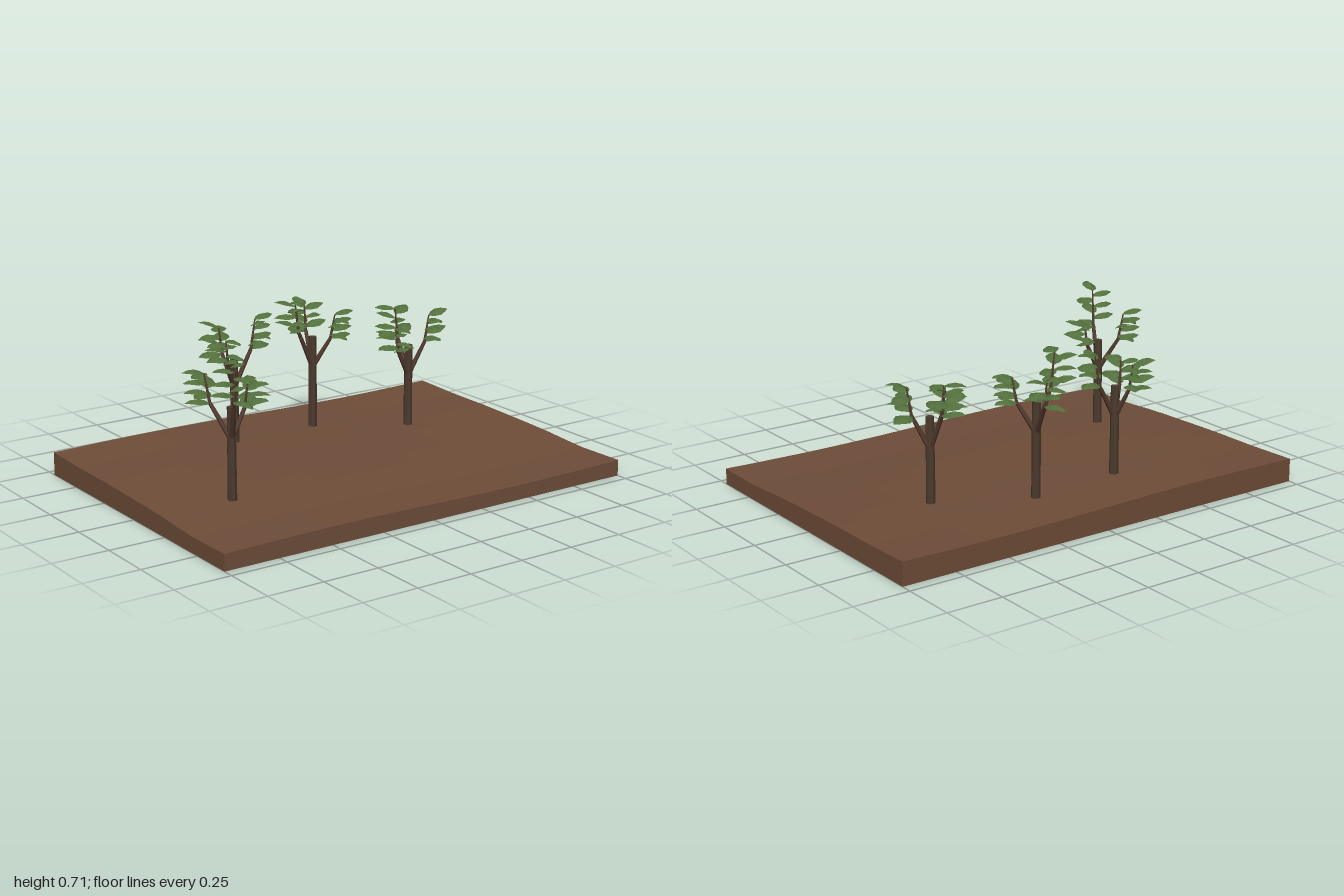
import * as THREE from 'three';
import { mergeGeometries } from 'three/addons/utils/BufferGeometryUtils.js';

const mat = (name, color, extra = {}) => {
  const m = new THREE.MeshStandardMaterial({ color, flatShading: true, ...extra });
  m.name = name;
  return m;
};
const soil = mat('soil', 0x6e4d39);
const bark = mat('bark', 0x4b3a2d);
const branchBark = mat('branchBark', 0x543c30);
const foliage = mat('foliage', 0x526f3c, { side: THREE.DoubleSide });

// Ground height: a slope rising to the back with a gentle sideways wave
const slope = [[-0.7, 0.103], [-0.45, 0.096], [-0.2, 0.095], [0.2, 0.084], [0.45, 0.068], [0.7, 0.071]];
function groundHeight(x, z) {
  let i = 0;
  while (i < slope.length - 2 && z > slope[i + 1][0]) i++;
  const [z0, h0] = slope[i], [z1, h1] = slope[i + 1];
  return THREE.MathUtils.lerp(h0, h1, (z - z0) / (z1 - z0)) - 0.007 * Math.sin(Math.PI * x);
}

function makeGround() {
  const g = new THREE.BoxGeometry(2, 1, 1.4, 16, 1, 12);
  const p = g.attributes.position;
  for (let i = 0; i < p.count; i++) {
    p.setY(i, p.getY(i) > 0 ? groundHeight(p.getX(i), p.getZ(i)) : 0);
  }
  g.computeVertexNormals();
  const mesh = new THREE.Mesh(g, soil);
  mesh.name = 'ground';
  return mesh;
}

// Tapered round limb between two points
function limb(a, b, r0, r1, sides) {
  const dir = b.clone().sub(a);
  const g = new THREE.CylinderGeometry(r1, r0, dir.length(), sides);
  g.applyQuaternion(new THREE.Quaternion().setFromUnitVectors(new THREE.Vector3(0, 1, 0), dir.normalize()));
  const mid = a.clone().add(b).multiplyScalar(0.5);
  return g.translate(mid.x, mid.y, mid.z);
}

// Leaf along +x: cross-sections [along, halfWidth, ridgeHeight], folded down at both sides
function leafGeometry() {
  const sections = [[0, 0.004, 0], [0.025, 0.03, 0.012], [0.055, 0.041, 0.018], [0.085, 0.027, 0.014], [0.112, 0.001, 0]];
  const pos = [], index = [];
  sections.forEach(([x, w, y], i) => {
    pos.push(x, y - w * 0.4, -w, x, y, 0, x, y - w * 0.4, w);
    if (i === 0) return;
    for (let k = 0; k < 2; k++) {
      const a = (i - 1) * 3 + k, b = a + 3;
      index.push(a, a + 1, b, b, a + 1, b + 1);
    }
  });
  const g = new THREE.BufferGeometry();
  g.setAttribute('position', new THREE.Float32BufferAttribute(pos, 3));
  g.setIndex(index);
  g.computeVertexNormals();
  return g;
}

// Each branch: [tip dx, tip dz, tip height, leaf heading in degrees (0 = +x, 90 = +z)]
const trees = [
  { x: -0.67, z: 0.23, top: 0.48, branches: [[-0.07, -0.09, 0.61, 238], [0.08, 0, 0.57, 0], [-0.05, 0.11, 0.68, 140]] },
  { x: -0.27, z: -0.39, top: 0.49, branches: [[-0.02, -0.09, 0.6, 255], [-0.07, 0.05, 0.58, 140], [0.11, 0, 0.64, 40]] },
  { x: 0.16, z: -0.415, top: 0.51, branches: [[0.03, -0.11, 0.63, 310], [0.08, 0.06, 0.61, 50], [-0.11, 0.025, 0.69, 165]] },
  { x: 0.54, z: -0.205, top: 0.46, branches: [[-0.01, -0.09, 0.61, 280], [0.09, 0.03, 0.59, 45], [-0.09, 0.02, 0.55, 140]] },
];

function makeTree({ x, z, top, branches }, seed) {
  const tree = new THREE.Group();
  tree.name = 'tree';
  tree.position.set(x, 0, z);
  const add = (name, geometries, material) => {
    const mesh = new THREE.Mesh(mergeGeometries(geometries), material);
    mesh.name = name;
    tree.add(mesh);
  };
  const base = groundHeight(x, z) - 0.01;
  add('trunk', [limb(new THREE.Vector3(0, base, 0), new THREE.Vector3(0, top, 0), 0.02, 0.018, 8)], bark);

  const wood = [], leaves = [], leaf = leafGeometry();
  const fork = top - 0.14;
  branches.forEach(([dx, dz, tipY, heading], b) => {
    // Sloping branch, then a thin upright twig carrying the leaves
    const knee = new THREE.Vector3(dx * 0.8, fork + (tipY - fork) * 0.55, dz * 0.8);
    const tip = new THREE.Vector3(dx, tipY, dz);
    wood.push(limb(new THREE.Vector3(0, fork, 0), knee, 0.012, 0.008, 6), limb(knee, tip, 0.007, 0.003, 5));
    // Leaves alternate to either side while climbing the twig
    const count = 7;
    for (let i = 0; i < count; i++) {
      const t = i / (count - 1);
      const wobble = Math.sin(seed * 5.1 + b * 2.3 + i * 4.7);
      const at = knee.clone().lerp(tip, t);
      const angle = THREE.MathUtils.degToRad(heading + (i % 2 ? 47 : -47) + wobble * 14);
      const size = 0.96 - 0.12 * t;
      leaves.push(leaf.clone()
        .scale(size, size, size)
        .rotateX(wobble * 0.2)
        .rotateZ(0.08 + 0.16 * wobble)
        .rotateY(-angle)
        .translate(at.x, at.y, at.z));
    }
  });
  add('branches', wood, branchBark);
  add('leaves', leaves, foliage);
  return tree;
}

export function createModel() {
  const model = new THREE.Group();
  model.name = 'grove';
  model.add(makeGround());
  trees.forEach((t, i) => model.add(makeTree(t, i)));
  return model;
}
